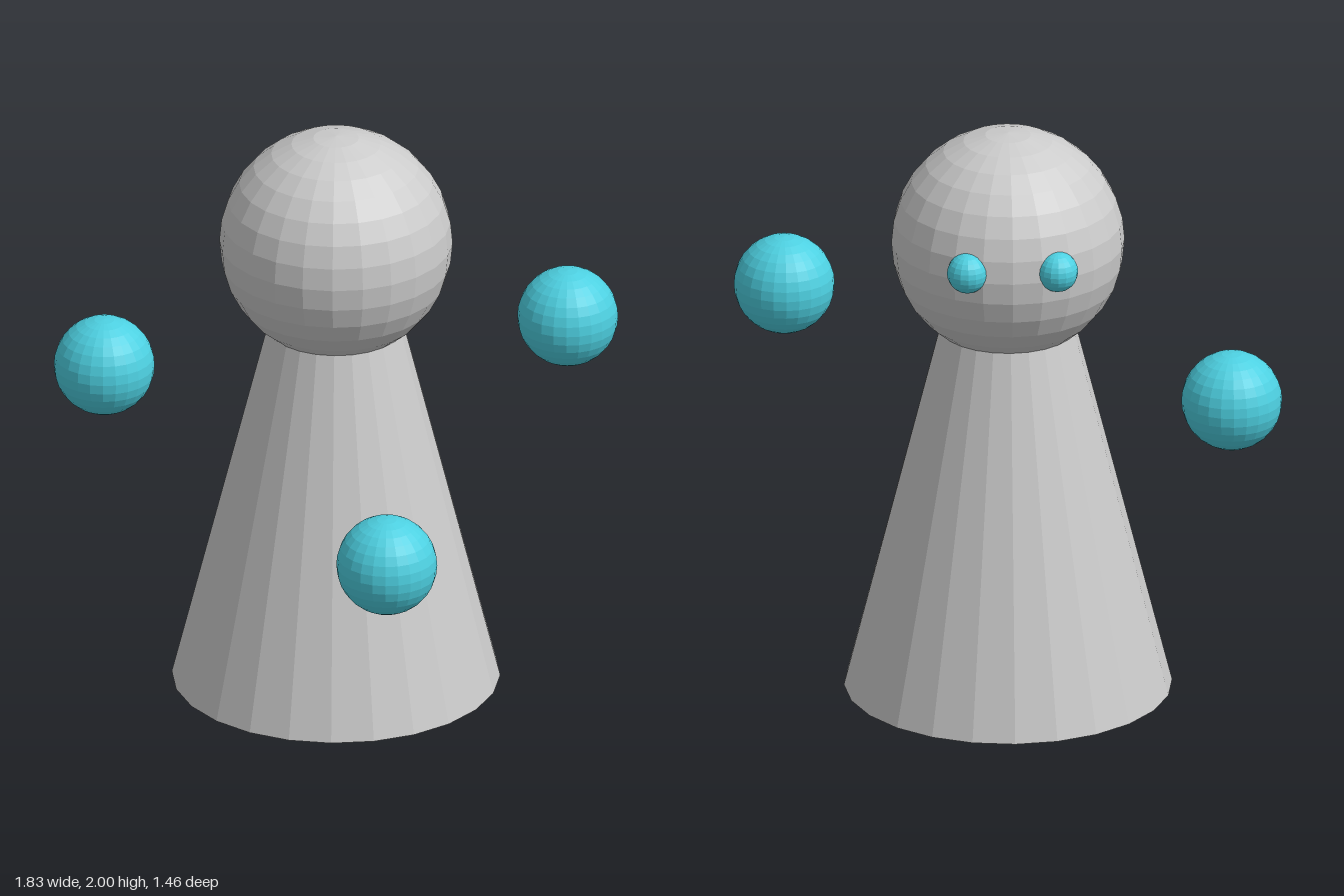
import * as THREE from 'three';

export function createModel() {
  const model = new THREE.Group();
  const grey = new THREE.MeshStandardMaterial({ color: 0xcccccc, flatShading: true });
  const cyan = new THREE.MeshStandardMaterial({ color: 0x4dd0e1, flatShading: true });
  const axisZ = -0.18; // the figure stands behind the centre

  const add = (name, geometry, material, x, y, z) => {
    const mesh = new THREE.Mesh(geometry, material);
    mesh.name = name;
    mesh.position.set(x, y, z);
    model.add(mesh);
  };

  // Tapered body, its top sunk into the head
  const bodyHeight = 1.4;
  add('body', new THREE.CylinderGeometry(0.203, 0.553, bodyHeight, 24), grey, 0, bodyHeight / 2, axisZ);

  // Round head
  add('head', new THREE.SphereGeometry(0.393, 24, 16), grey, 0, 1.607, axisZ);

  // Eyes, half sunk into the back of the head
  const eye = new THREE.SphereGeometry(0.069, 16, 12);
  for (const [side, sign] of [['left', 1], ['right', -1]]) {
    add(`${side}Eye`, eye, cyan, sign * 0.152, 1.635, -0.53);
  }

  // Orbs floating around the body at rising heights
  const orb = new THREE.SphereGeometry(0.17, 24, 16);
  add('frontOrb', orb, cyan, 0, 0.745, 0.562);
  add('rightOrb', orb, cyan, -0.743, 1.115, -0.428);
  add('leftOrb', orb, cyan, 0.743, 1.363, 0.067);

  return model;
}
